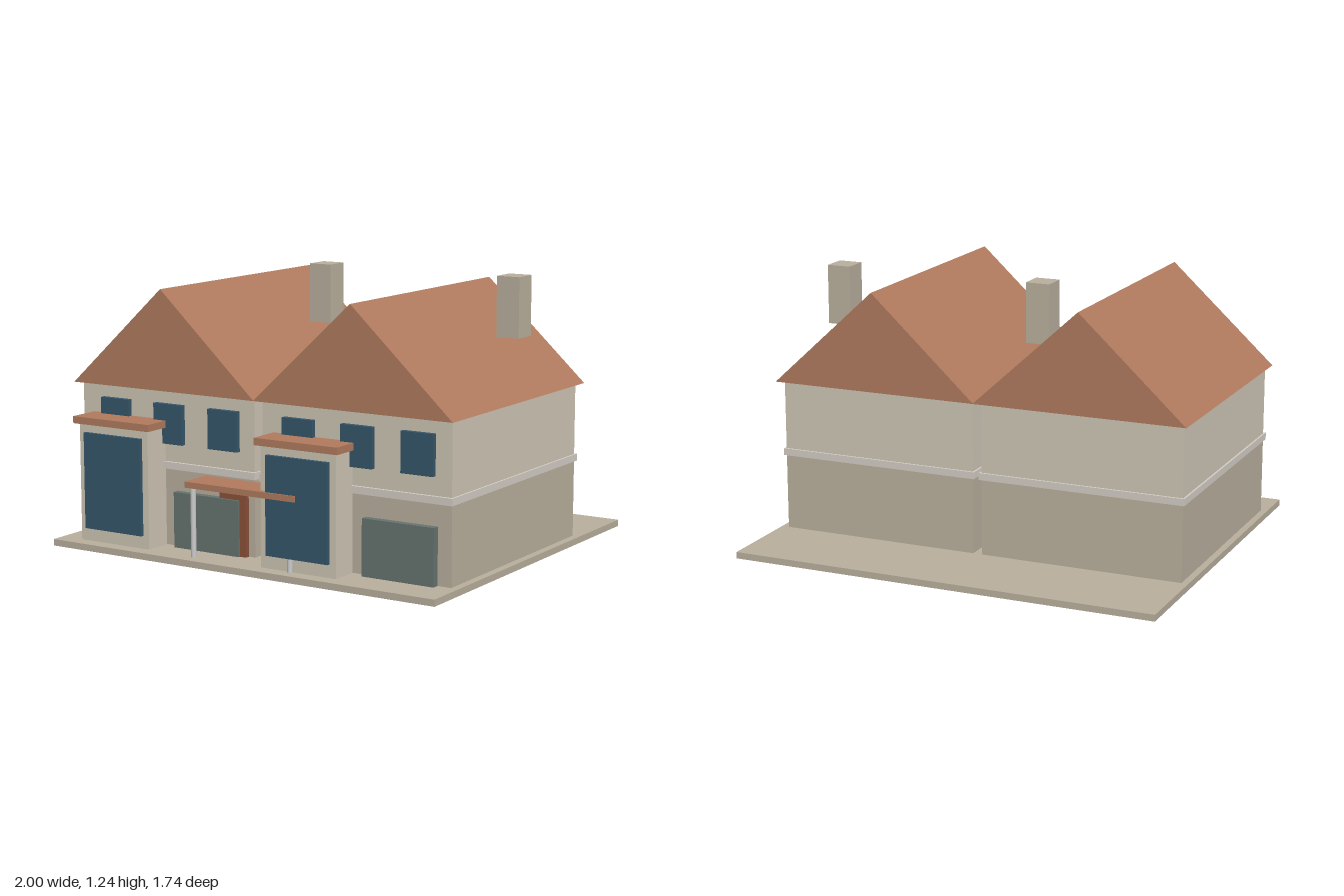
import * as THREE from 'three';

const mat = (color) => new THREE.MeshStandardMaterial({ color });
const M = {
  stone: mat(0xb8ae9c),
  render: mat(0xcdc5b5),
  band: mat(0xd2ccc3),
  roof: mat(0xb07a5e),
  glass: mat(0x36566a),
  garage: mat(0x66736f),
  brownDoor: mat(0x8a5038),
  tealDoor: mat(0x3f8088),
  post: mat(0xcccccc),
};

// Box given by its extents on each axis
function block(parent, name, material, [x0, x1], [y0, y1], [z0, z1]) {
  const mesh = new THREE.Mesh(new THREE.BoxGeometry(x1 - x0, y1 - y0, z1 - z0), material);
  mesh.position.set((x0 + x1) / 2, (y0 + y1) / 2, (z0 + z1) / 2);
  mesh.name = name;
  parent.add(mesh);
  return mesh;
}

// One house, centred on its ridge
function house(name) {
  const g = new THREE.Group();
  g.name = name;

  // Walls and string course
  block(g, 'groundFloorWalls', M.stone, [-0.473, 0.473], [0.03, 0.395], [-0.457, 0.67]);
  block(g, 'upperFloorWalls', M.render, [-0.473, 0.473], [0.395, 0.737], [-0.457, 0.67]);
  block(g, 'stringCourse', M.band, [-0.482, 0.482], [0.38, 0.412], [-0.467, 0.684]);

  // Gable roof
  const gable = new THREE.Shape([
    new THREE.Vector2(-0.496, 0.735),
    new THREE.Vector2(0.496, 0.735),
    new THREE.Vector2(0, 1.19),
  ]);
  const roof = new THREE.Mesh(
    new THREE.ExtrudeGeometry(gable, { depth: 1.21, bevelEnabled: false }), M.roof);
  roof.position.z = -0.5;
  roof.name = 'gableRoof';
  g.add(roof);

  block(g, 'chimney', M.stone, [0.238, 0.35], [0.97, 1.243], [-0.249, -0.133]);

  // Upper windows
  for (const x of [-0.278, 0.019, 0.316])
    block(g, 'upperWindow', M.glass, [x - 0.078, x + 0.078], [0.495, 0.675], [0.66, 0.694]);

  // Projecting bay with its window and flat roof
  block(g, 'bay', M.render, [-0.393, -0.011], [0.03, 0.57], [0.66, 0.802]);
  block(g, 'bayWindow', M.glass, [-0.358, -0.042], [0.09, 0.53], [0.79, 0.82]);
  block(g, 'bayRoof', M.roof, [-0.414, 0.008], [0.568, 0.6], [0.66, 0.823]);

  block(g, 'garageDoor', M.garage, [0.056, 0.407], [0.03, 0.283], [0.66, 0.704]);
  return g;
}

export function createModel() {
  const model = new THREE.Group();
  model.name = 'pairOfHouses';
  block(model, 'groundSlab', M.stone, [-1, 1], [0, 0.03], [-0.87, 0.87]);

  for (const [name, x] of [['rightHouse', -0.496], ['leftHouse', 0.492]]) {
    const h = house(name);
    h.position.x = x;
    model.add(h);
  }

  // Front doors either side of the gap
  block(model, 'rightFrontDoor', M.brownDoor, [-0.195, -0.056], [0.03, 0.31], [0.66, 0.694]);
  block(model, 'leftFrontDoor', M.tealDoor, [0.052, 0.19], [0.03, 0.31], [0.66, 0.694]);

  // Shared porch canopy on two posts
  block(model, 'porchCanopy', M.roof, [-0.289, 0.286], [0.342, 0.369], [0.67, 0.827]);
  for (const x of [-0.256, 0.252]) {
    const post = new THREE.Mesh(new THREE.CylinderGeometry(0.012, 0.012, 0.312, 12), M.post);
    post.position.set(x, 0.186, 0.808);
    post.name = 'porchPost';
    model.add(post);
  }
  return model;
}
